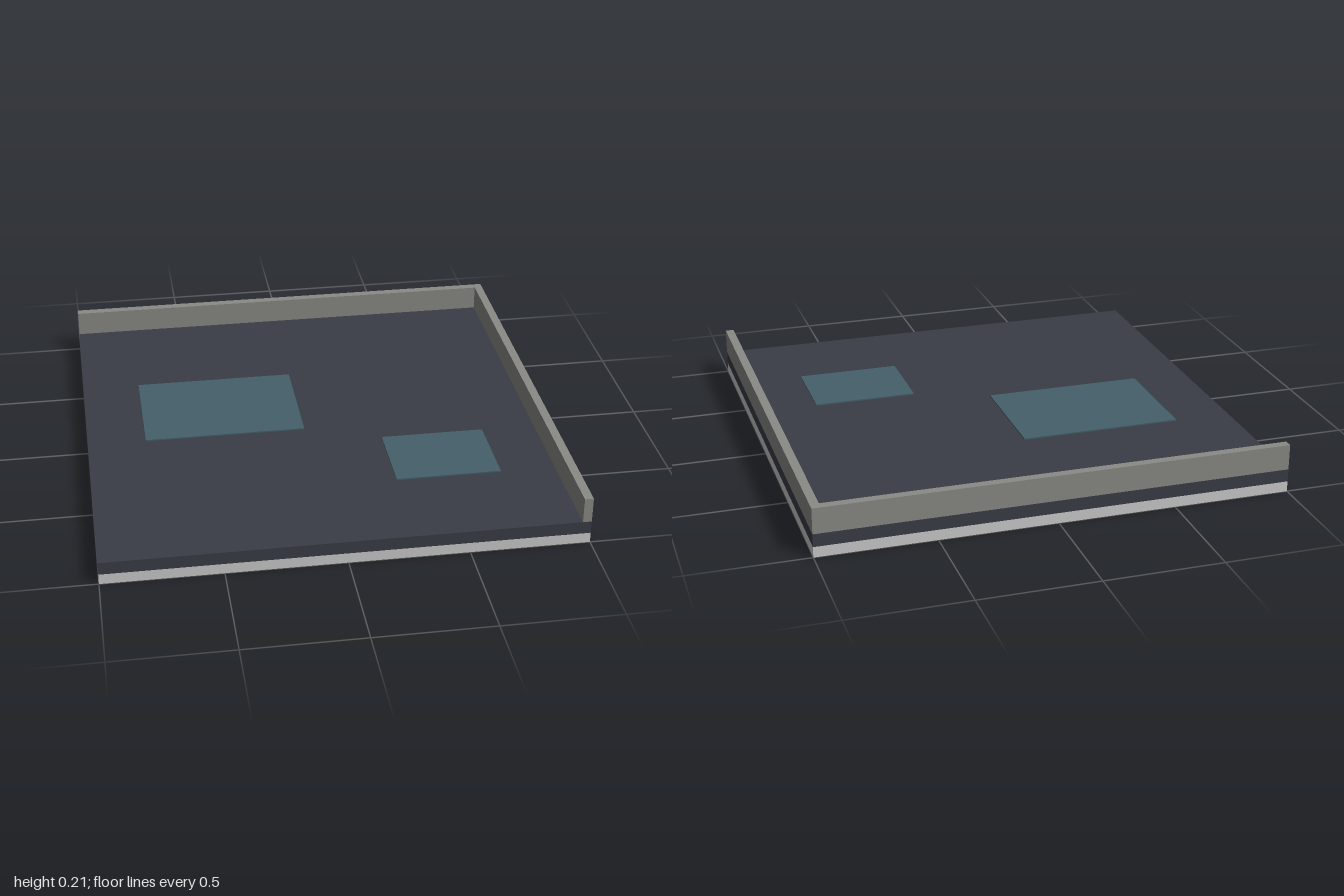
import * as THREE from 'three';

const paint = (color) => new THREE.MeshStandardMaterial({ color });

export function createModel() {
  const group = new THREE.Group();
  const grey = paint(0xcccccc);
  const asphalt = paint(0x3a3d46);
  const concrete = paint(0x8a8a86);
  const water = paint(0x44606a);

  // Box given by its min and max on each axis
  const addBox = (name, material, [x0, x1], [y0, y1], [z0, z1]) => {
    const mesh = new THREE.Mesh(new THREE.BoxGeometry(x1 - x0, y1 - y0, z1 - z0), material);
    mesh.position.set((x0 + x1) / 2, (y0 + y1) / 2, (z0 + z1) / 2);
    mesh.name = name;
    group.add(mesh);
  };

  // Ground slab with a dark paving layer on top
  const full = [-1, 1];
  addBox('baseSlab', grey, full, [0, 0.045], full);
  addBox('paving', asphalt, full, [0.045, 0.1], full);

  // Low parapet along the back and the left edge, meeting in the corner
  const wallHeight = [0.1, 0.21];
  addBox('backParapet', concrete, full, wallHeight, [-1, -0.963]);
  addBox('leftParapet', concrete, [0.963, 1], wallHeight, [-0.963, 1]);

  // Thin puddles lying on the paving
  const puddleHeight = [0.1, 0.106];
  addBox('largePuddle', water, [-0.75, -0.05], puddleHeight, [-0.4, 0.1]);
  addBox('smallPuddle', water, [0.275, 0.725], puddleHeight, [0.225, 0.575]);

  return group;
}
